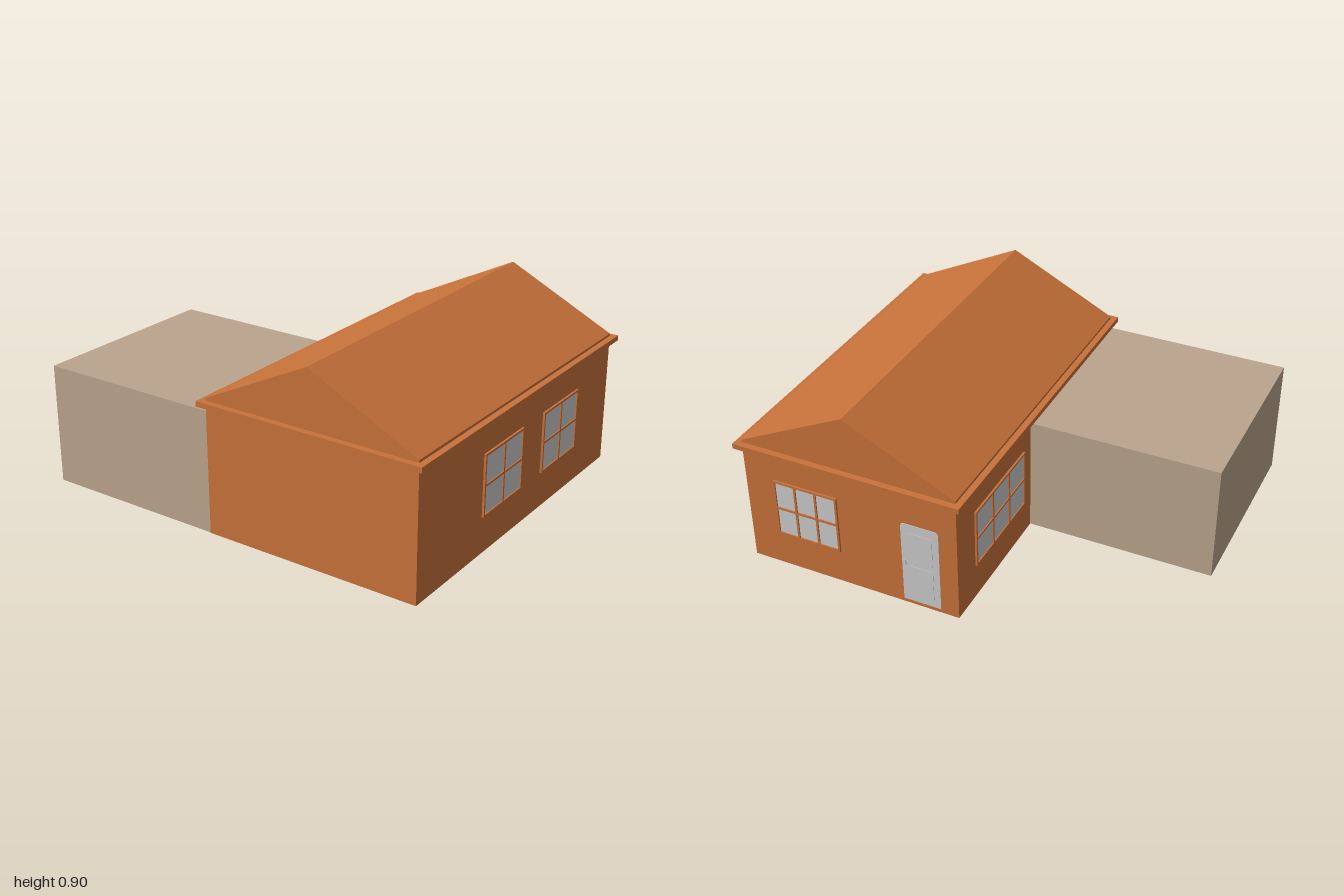
import * as THREE from 'three';

const material = (name, color) => Object.assign(new THREE.MeshStandardMaterial({ color }), { name });
const orange = material('orange wall', 0xc8723a);
const beige = material('beige annex', 0xbba58d);
const pale = material('pale grey pane', 0xcbcbcb);

function add(parent, name, geometry, mat, x = 0, y = 0, z = 0) {
  const mesh = new THREE.Mesh(geometry, mat);
  mesh.name = name;
  mesh.position.set(x, y, z);
  parent.add(mesh);
  return mesh;
}

// Box given by its minimum and maximum corners
function block(parent, name, mat, [x0, y0, z0], [x1, y1, z1]) {
  return add(parent, name, new THREE.BoxGeometry(x1 - x0, y1 - y0, z1 - z0), mat,
    (x0 + x1) / 2, (y0 + y1) / 2, (z0 + z1) / 2);
}

// Window facing +z with its back on z = 0: panes behind a grid of bars
function makeWindow(name, width, height, columns) {
  const group = new THREE.Group();
  group.name = name;
  const w = width / 2, h = height / 2, bar = 0.005;
  block(group, 'windowPane', pale, [-w + bar, -h + bar, 0], [w - bar, h - bar, 0.004]);
  for (let i = 0; i <= columns; i++) {
    const x = -w + bar + (width - 2 * bar) * i / columns;
    block(group, 'windowUpright', orange, [x - bar, -h, 0], [x + bar, h, 0.01]);
  }
  for (let i = 0; i <= 2; i++) {
    const y = -h + bar + (height - 2 * bar) * i / 2;
    block(group, 'windowCrossbar', orange, [-w, y - bar, 0], [w, y + bar, 0.01]);
  }
  return group;
}

// Door leaf outline with rounded upper corners
function doorShape(width, height, r) {
  const w = width / 2;
  const s = new THREE.Shape();
  s.moveTo(-w, 0);
  s.lineTo(w, 0);
  s.lineTo(w, height - r);
  s.quadraticCurveTo(w, height, w - r, height);
  s.lineTo(-w + r, height);
  s.quadraticCurveTo(-w, height, -w, height - r);
  s.closePath();
  return s;
}

function makeDoor() {
  const group = new THREE.Group();
  group.name = 'backDoor';
  const leaf = new THREE.ExtrudeGeometry(doorShape(0.185, 0.425, 0.02),
    { depth: 0.003, bevelEnabled: false, curveSegments: 5 });
  add(group, 'doorLeaf', leaf, pale);
  // Raised panels and handle
  block(group, 'lowerPanel', pale, [-0.06, 0.04, 0.003], [0.06, 0.2, 0.005]);
  block(group, 'upperPanel', pale, [-0.06, 0.23, 0.003], [0.06, 0.38, 0.005]);
  block(group, 'doorHandle', pale, [-0.082, 0.2, 0.003], [-0.072, 0.23, 0.008]);
  return group;
}

export function createModel() {
  const model = new THREE.Group();
  model.name = 'house';

  // Main building, eaves and side annex
  block(model, 'houseWalls', orange, [-0.09, 0, -0.85], [0.97, 0.61, 0.85]);
  block(model, 'eaves', orange, [-0.12, 0.605, -0.88], [1, 0.63, 0.88]);
  block(model, 'annex', beige, [-1, 0, -0.11], [-0.09, 0.58, 0.847]);

  // Gabled roof with a low upright edge
  const gable = new THREE.Shape([[-0.09, 0.63], [0.97, 0.63], [0.97, 0.642], [0.44, 0.902], [-0.09, 0.642]]
    .map(([x, y]) => new THREE.Vector2(x, y)));
  add(model, 'gabledRoof', new THREE.ExtrudeGeometry(gable, { depth: 1.7, bevelEnabled: false }), orange, 0, 0, -0.85);

  // Windows: name, width, columns, x, z, turn
  const windows = [
    ['rightFrontWindow', 0.335, 2, 0.97, 0.17, Math.PI / 2],
    ['rightBackWindow', 0.335, 2, 0.97, -0.355, Math.PI / 2],
    ['backWindow', 0.325, 3, 0.66, -0.85, Math.PI],
    ['leftWindow', 0.5, 3, -0.09, -0.435, -Math.PI / 2],
  ];
  for (const [name, width, columns, x, z, turn] of windows) {
    const win = makeWindow(name, width, 0.295, columns);
    win.position.set(x, 0.3225, z);
    win.rotation.y = turn;
    model.add(win);
  }

  const door = makeDoor();
  door.position.set(0.09, 0.02, -0.85);
  door.rotation.y = Math.PI;
  model.add(door);

  return model;
}
